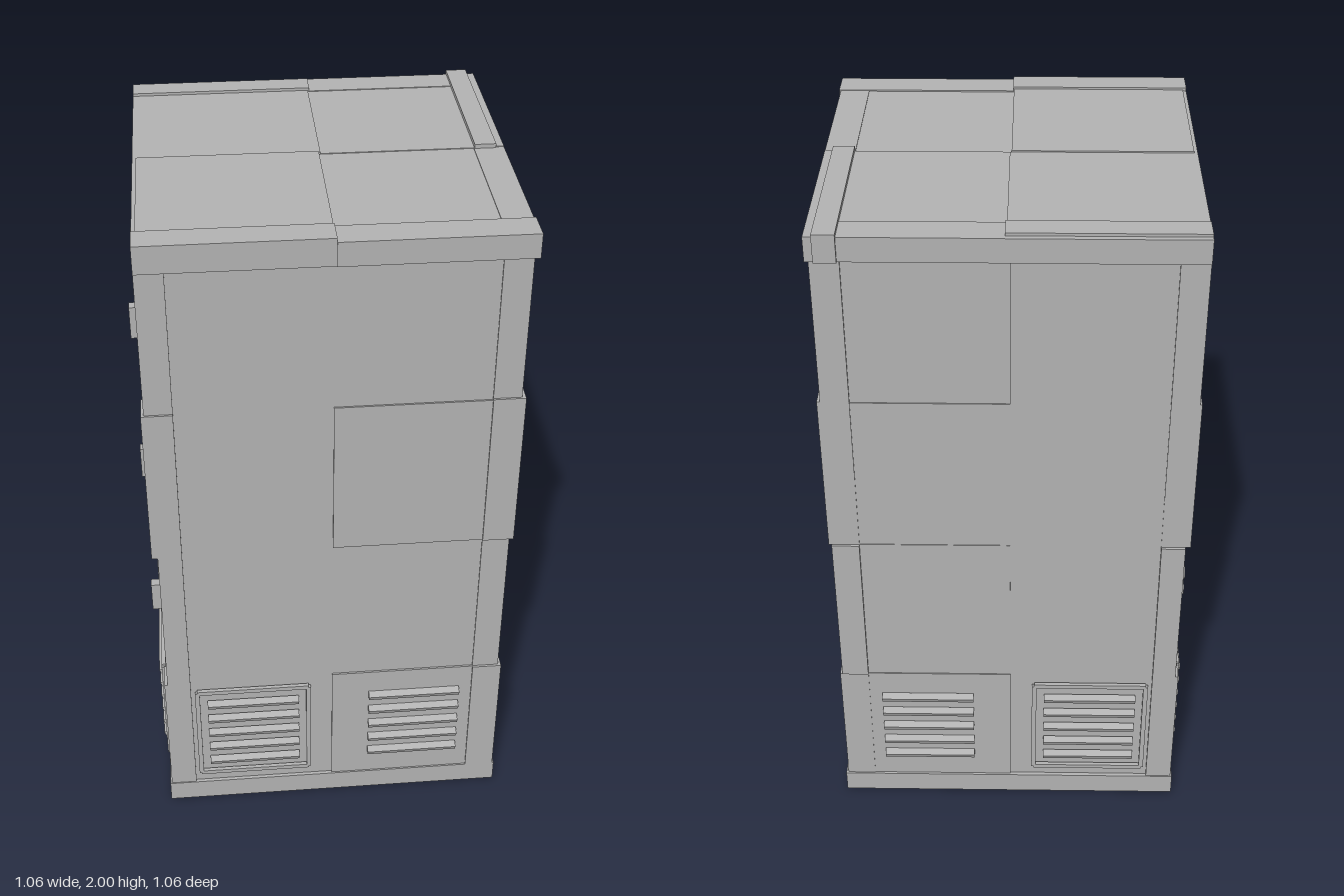
import * as THREE from 'three';

const grey = new THREE.MeshStandardMaterial({ color: 0xb2b2b2 });
grey.name = 'cabinetGrey';

export function createModel() {
  const model = new THREE.Group();
  model.name = 'lockerCabinet';

  // box given by its limits on each axis
  function box(name, x0, x1, y0, y1, z0, z1, parent = model) {
    const mesh = new THREE.Mesh(new THREE.BoxGeometry(Math.abs(x1 - x0), y1 - y0, Math.abs(z1 - z0)), grey);
    mesh.position.set((x0 + x1) / 2, (y0 + y1) / 2, (z0 + z1) / 2);
    mesh.name = name;
    parent.add(mesh);
    return mesh;
  }

  // core, plinth and floor
  box('core', -0.494, 0.503, 0.02, 1.98, -0.498, 0.5);
  box('plinth', -0.515, 0.525, 0, 0.07, -0.515, 0.515);

  // corner posts: outer x and z of each half-unit segment, bottom to top
  const levels = [0.07, 0.5, 1.0, 1.49, 1.925];
  const posts = [
    [[-0.51, 0.512], [-0.501, 0.512], [-0.518, 0.514], [-0.51, 0.508]],
    [[0.52, 0.515], [0.511, 0.508], [0.522, 0.514], [0.511, 0.508]],
    [[0.518, -0.51], [0.511, -0.514], [0.52, -0.506], [0.511, -0.506]],
    [[-0.51, -0.512], [-0.501, -0.514], [-0.516, -0.506], [-0.51, -0.508]],
  ];
  for (const post of posts) {
    post.forEach(([x, z], i) => {
      box('cornerPost', Math.sign(x) * 0.432, x, levels[i], levels[i + 1], Math.sign(z) * 0.43, z);
    });
  }

  // wall panels, slightly stepped against each other
  const frontPanels = [
    [-0.432, 0, 0.07, 1.925, 0.504],
    [0, 0.432, 0.07, 0.5, 0.51],
    [0, 0.432, 0.5, 1.0, 0.504],
    [0, 0.432, 1.0, 1.485, 0.509],
    [0, 0.432, 1.485, 1.925, 0.504],
  ];
  for (const [x0, x1, y0, y1, z] of frontPanels) box('frontPanel', x0, x1, y0, y1, 0.45, z);
  const backPanels = [
    [-0.432, 0, 0.07, 1.925, 0.503],
    [0, 0.432, 0.07, 0.5, 0.508],
    [0, 0.432, 0.5, 1.0, 0.505],
    [0, 0.432, 1.0, 1.485, 0.503],
    [0, 0.432, 1.485, 1.925, 0.5],
  ];
  for (const [x0, x1, y0, y1, z] of backPanels) box('backPanel', x0, x1, y0, y1, -0.45, -z);
  box('sidePanelLower', 0.45, 0.508, 0.07, 1.0, -0.43, 0.43);
  box('sidePanelUpper', 0.45, 0.506, 1.0, 1.925, -0.43, 0);
  box('sidePanelUpper', 0.45, 0.505, 1.0, 1.925, 0, 0.43);

  // top rim and four roof plates
  box('rimFrontRight', -0.51, 0.005, 1.92, 2.0, 0.43, 0.512);
  box('rimFrontLeft', 0.005, 0.525, 1.92, 1.99, 0.425, 0.515);
  box('rimBackRight', -0.51, 0.012, 1.92, 1.998, -0.5, -0.43);
  box('rimBackRightFace', -0.51, 0.012, 1.92, 1.99, -0.516, -0.5);
  box('rimBackLeft', 0.012, 0.52, 1.92, 1.99, -0.515, -0.425);
  box('rimSideFront', 0.435, 0.52, 1.92, 1.988, 0, 0.43);
  box('rimSideBack', 0.437, 0.497, 1.92, 2.0, -0.522, 0.005);
  box('rimSideBackFace', 0.497, 0.52, 1.925, 1.99, -0.515, 0);
  box('rimDoorSide', -0.51, -0.43, 1.92, 1.99, -0.44, 0.44);
  box('roofPlate', -0.5, 0.003, 1.95, 1.994, -0.005, 0.43);
  box('roofPlate', 0.003, 0.437, 1.95, 1.986, 0, 0.425);
  box('roofPlate', -0.5, 0.008, 1.95, 1.99, -0.43, -0.005);
  box('roofPlate', 0.008, 0.437, 1.95, 1.988, -0.425, 0);

  // thin rectangular frame, built facing +z around its own centre
  function frame(parent, w, h, t, d) {
    for (const s of [-1, 1]) {
      box('frameRail', -w / 2, w / 2, s * h / 2 - t / 2, s * h / 2 + t / 2, -0.005, d, parent);
      box('frameStile', s * w / 2 - t / 2, s * w / 2 + t / 2, -h / 2, h / 2, -0.005, d, parent);
    }
  }

  // louvred vent facing +z; placed and turned by the caller
  function vent(name, x, y, z, turn, width, count, pitch, framed) {
    const g = new THREE.Group();
    g.name = name;
    for (let i = 0; i < count; i++) {
      const slatY = (i - (count - 1) / 2) * pitch;
      const slat = box('ventSlat', -width / 2, width / 2, slatY - 0.009, slatY + 0.009, -0.008, 0.014, g);
      slat.rotation.x = 0.4;
    }
    if (framed) frame(g, width + 0.06, count * pitch + 0.045, 0.014, 0.007);
    g.position.set(x, y, z);
    g.rotation.y = turn;
    model.add(g);
  }
  vent('frontVent', -0.243, 0.29, 0.514, 0, 0.28, 5, 0.06, true);
  vent('frontVent', 0.253, 0.29, 0.516, 0, 0.28, 5, 0.06, false);
  vent('backVent', -0.243, 0.29, -0.514, Math.PI, 0.28, 5, 0.06, true);
  vent('backVent', 0.253, 0.29, -0.515, Math.PI, 0.28, 5, 0.06, false);

  // locker doors with keypad, buttons and handle, plus a vent under each column
  const rows = [[0.55, 0.96, 0.745], [1.01, 1.465, 1.245], [1.5, 1.895, 1.705]];
  for (const z of [-0.222, 0.198]) {
    for (const [y0, y1, y] of rows) {
      const door = new THREE.Group();
      door.name = 'lockerDoor';
      model.add(door);
      box('doorPanel', -0.48, -0.502, y0, y1, z - 0.2, z + 0.2, door);
      box('keypad', -0.5, -0.508, y - 0.065, y + 0.065, z - 0.157, z - 0.085, door);
      for (const dy of [-0.03, 0.03]) {
        const knob = new THREE.Mesh(new THREE.CylinderGeometry(0.022, 0.022, 0.02, 8), grey);
        knob.name = 'lockKnob';
        knob.rotation.z = Math.PI / 2;
        knob.position.set(-0.514, y + dy, z - 0.121);
        door.add(knob);
      }
      for (const dz of [-0.05, 0.01, 0.065]) {
        box('button', -0.5, -0.513, y - 0.035, y + 0.03, z + dz - 0.014, z + dz + 0.014, door);
      }
      box('labelStrip', -0.5, -0.507, y + 0.048, y + 0.06, z - 0.07, z + 0.085, door);
      box('doorHandle', -0.5, -0.532, y - 0.047, y + 0.047, z + 0.16, z + 0.188, door);
    }
    vent('doorSideVent', -0.512, 0.29, z, -Math.PI / 2, 0.35, 6, 0.055, true);
  }
  // dividers between the doors
  for (const y of [0.51, 0.985, 1.482, 1.91]) box('doorDivider', -0.48, -0.506, y - 0.009, y + 0.009, -0.43, 0.43);
  box('doorMullion', -0.48, -0.506, 0.07, 1.92, -0.019, -0.005);

  // control panel: raised border, recessed field and switches
  const cx = 0.529;
  box('controlBorder', 0.5, cx, 0.14, 0.175, 0.08, 0.425);
  box('controlBorder', 0.5, cx, 0.31, 0.35, 0.08, 0.425);
  box('controlBorder', 0.5, cx, 0.175, 0.31, 0.08, 0.13);
  box('controlBorder', 0.5, cx, 0.175, 0.31, 0.38, 0.425);
  box('controlField', 0.5, 0.513, 0.175, 0.31, 0.13, 0.38);
  box('socket', 0.5, 0.524, 0.19, 0.26, 0.29, 0.363);
  box('switch', 0.5, 0.526, 0.19, 0.275, 0.155, 0.203);
  box('switch', 0.5, 0.521, 0.19, 0.275, 0.203, 0.248);

  return model;
}
